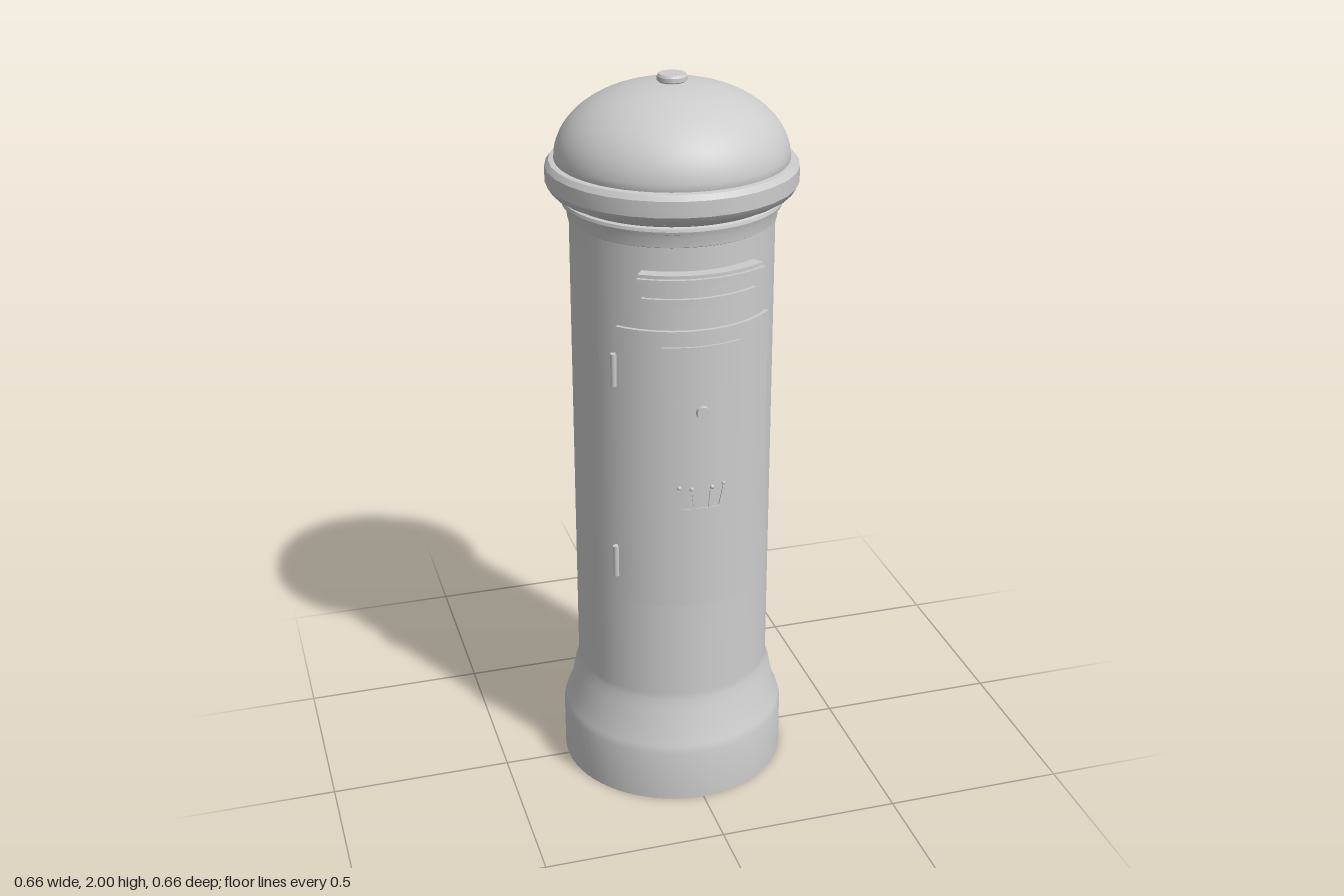
import * as THREE from 'three';
import { toCreasedNormals } from 'three/addons/utils/BufferGeometryUtils.js';

export function createModel() {
  const root = new THREE.Group();
  root.name = 'pillarBox';
  const paint = new THREE.MeshStandardMaterial({ color: 0xcccccc });
  paint.name = 'grey paint';

  function add(name, geometry, x = 0, y = 0, z = 0) {
    const mesh = new THREE.Mesh(geometry, paint);
    mesh.name = name;
    mesh.position.set(x, y, z);
    root.add(mesh);
    return mesh;
  }

  function turned(name, profile, sides) {
    const points = profile.map(([r, y]) => new THREE.Vector2(r, y));
    return add(name, toCreasedNormals(new THREE.LatheGeometry(points, sides), 0.5));
  }

  // Curved plate wrapped round the front, between two radii, two heights and two angles from +z
  function wrapped(name, r0, r1, y0, y1, a0, a1) {
    const shape = new THREE.Shape();
    shape.absarc(0, 0, r1, a0 - Math.PI / 2, a1 - Math.PI / 2, false);
    shape.absarc(0, 0, r0, a1 - Math.PI / 2, a0 - Math.PI / 2, true);
    shape.closePath();
    const geometry = new THREE.ExtrudeGeometry(shape, { depth: y1 - y0, bevelEnabled: false, curveSegments: 20 });
    geometry.rotateX(-Math.PI / 2);
    geometry.rotateY(Math.PI);
    geometry.rotateY(Math.PI);
    geometry.translate(0, y0, 0);
    return add(name, toCreasedNormals(geometry, 0.5));
  }

  // Plinth and shaft
  turned('body', [
    [0, 0], [0.315, 0], [0.315, 0.15], [0.309, 0.172], [0.294, 0.205],
    [0.28, 0.275], [0.271, 0.3], [0.27, 0.32], [0.27, 1.64], [0, 1.64],
  ], 64);

  // Stepped mouldings under the cap
  turned('neckMouldings', [
    [0.265, 1.625], [0.274, 1.63], [0.277, 1.655], [0.28, 1.665], [0.288, 1.668],
    [0.29, 1.675], [0.288, 1.683], [0.28, 1.686], [0.29, 1.693], [0.292, 1.705], [0, 1.705],
  ], 64);

  // Overhanging rim
  turned('capRim', [
    [0, 1.698], [0.305, 1.698], [0.318, 1.706], [0.33, 1.725], [0.33, 1.767], [0.32, 1.781], [0.305, 1.783], [0, 1.783],
  ], 32);

  // Domed cap
  const dome = [[0.302, 1.775]];
  for (let i = 0; i <= 20; i++) {
    const t = (i / 20) * Math.PI / 2;
    dome.push([0.306 * Math.pow(Math.cos(t), 0.95), 1.785 + 0.195 * Math.sin(t)]);
  }
  dome[dome.length - 1][0] = 0;
  turned('dome', dome, 64);
  turned('knob', [[0.034, 1.965], [0.034, 1.98], [0.039, 1.983], [0.039, 1.994], [0.035, 2], [0, 2]], 32);

  // Posting slot with hood and lower lip
  wrapped('slotHood', 0.26, 0.312, 1.545, 1.557, -0.575, 0.575);
  wrapped('slotHoodTop', 0.26, 0.303, 1.557, 1.566, -0.575, 0.575);
  wrapped('slotHoodUnderside', 0.26, 0.296, 1.534, 1.545, -0.565, 0.565);
  wrapped('slotPanel', 0.26, 0.277, 1.49, 1.54, -0.55, 0.55);
  wrapped('slotLip', 0.26, 0.286, 1.475, 1.496, -0.565, 0.565);

  // Door, notice plate and lock
  wrapped('door', 0.26, 0.28, 0.607, 1.407, -0.83, 0.82);
  wrapped('noticePlate', 0.27, 0.285, 1.235, 1.365, -0.38, 0.38);
  const lock = add('lock', new THREE.CylinderGeometry(0.017, 0.019, 0.02, 20), 0, 1.18, 0.281);
  lock.rotation.x = Math.PI / 2;

  // Hinges on the door's right edge
  for (const y of [0.725, 1.285]) {
    add('hinge', new THREE.CylinderGeometry(0.009, 0.009, 0.09, 12), -0.211, y, 0.184);
  }

  // Small ornamental relief: a curved band with flared uprights and studs
  wrapped('reliefBand', 0.27, 0.2825, 0.888, 0.902, -0.19, 0.19);
  for (const side of [-1, 1]) {
    for (const [a, y, tilt] of [[0.2, 0.93, 0.22], [0.08, 0.925, 0.1]]) {
      const bar = add('reliefUpright', new THREE.BoxGeometry(0.006, 0.055, 0.006),
        side * 0.28 * Math.sin(a), y, 0.28 * Math.cos(a));
      bar.rotation.set(0, side * a, -side * tilt);
      add('reliefStud', new THREE.SphereGeometry(0.006, 10, 8),
        side * 0.281 * Math.sin(a + 0.02), y + 0.035, 0.281 * Math.cos(a + 0.02));
    }
  }
  return root;
}
